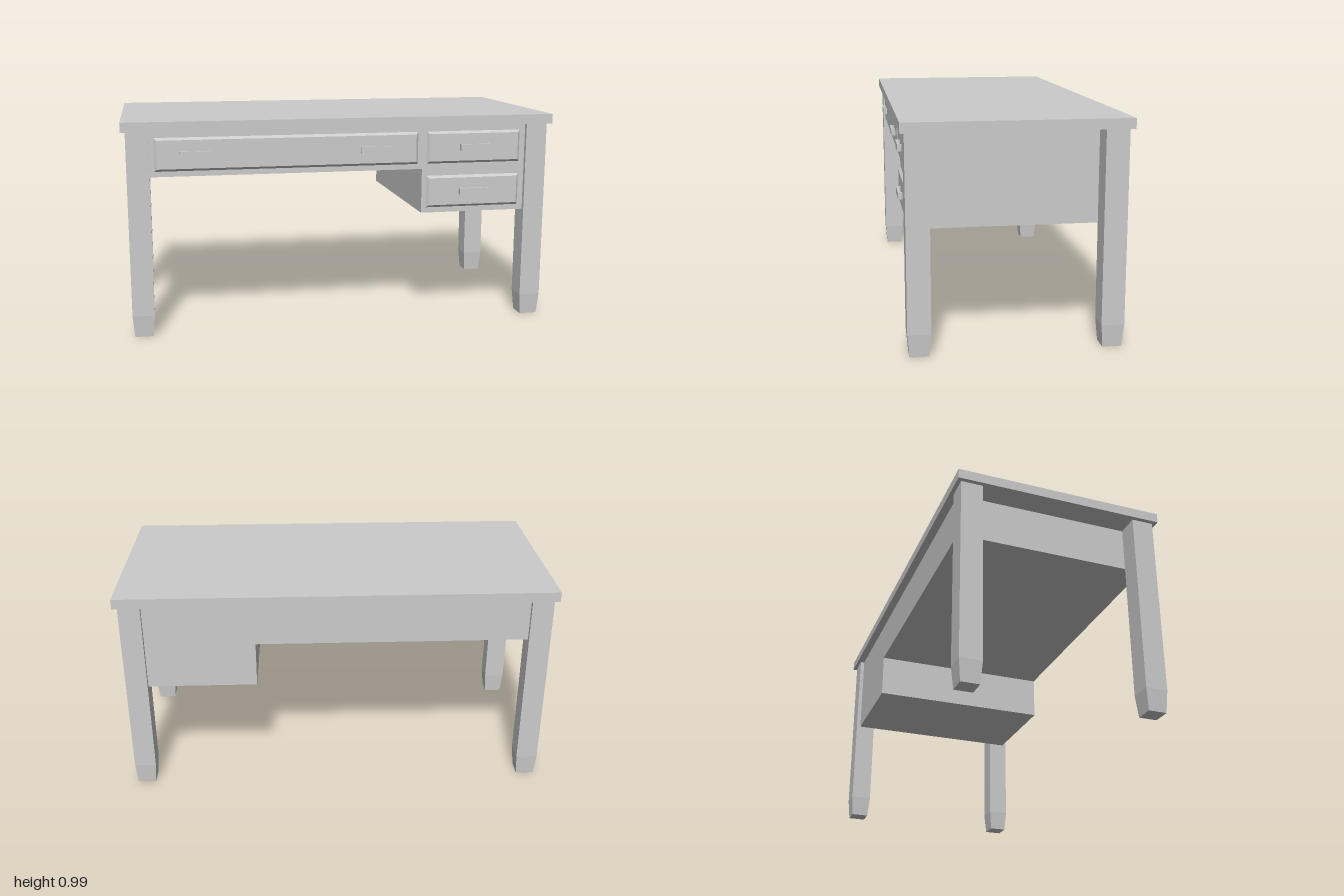
import * as THREE from 'three';

const material = new THREE.MeshStandardMaterial({ color: 0xcccccc, flatShading: true });

function part(name, geometry, x, y, z) {
  const mesh = new THREE.Mesh(geometry, material);
  mesh.name = name;
  mesh.position.set(x, y, z);
  return mesh;
}

// Square leg, standing on y = 0, narrowing towards the foot
function legGeometry(width, footWidth, height, taperStart) {
  const geo = new THREE.BoxGeometry(width, height, width, 1, 2, 1);
  geo.translate(0, height / 2, 0);
  const p = geo.attributes.position;
  const s = footWidth / width;
  for (let i = 0; i < p.count; i++) {
    const y = p.getY(i);
    if (y < 0.001) p.setXYZ(i, p.getX(i) * s, 0, p.getZ(i) * s);
    else if (y < height - 0.001) p.setY(i, taperStart);
  }
  const flat = geo.toNonIndexed();
  flat.computeVertexNormals();
  return flat;
}

// Raised panel with its back on z = 0 and sloping edges
function panelGeometry(width, height, depth, bevel) {
  const geo = new THREE.BoxGeometry(width, height, depth);
  geo.translate(0, 0, depth / 2);
  const p = geo.attributes.position;
  for (let i = 0; i < p.count; i++) {
    if (p.getZ(i) > depth / 2) {
      p.setX(i, p.getX(i) - Math.sign(p.getX(i)) * bevel);
      p.setY(i, p.getY(i) - Math.sign(p.getY(i)) * bevel);
    }
  }
  const flat = geo.toNonIndexed();
  flat.computeVertexNormals();
  return flat;
}

// Bar pull held by a post at each end
function createHandle(x) {
  const handle = new THREE.Group();
  handle.name = 'handle';
  handle.position.x = x;
  handle.add(part('handleBar', new THREE.BoxGeometry(0.14, 0.03, 0.01), 0, 0, 0.028));
  for (const side of [-1, 1]) {
    handle.add(part('handlePost', new THREE.BoxGeometry(0.02, 0.03, 0.011), side * 0.06, 0, 0.0185));
  }
  return handle;
}

export function createModel() {
  const desk = new THREE.Group();
  desk.name = 'desk';

  // Top board
  desk.add(part('tabletop', new THREE.BoxGeometry(2, 0.045, 0.96), 0, 0.9625, 0));

  // Four legs
  const leg = legGeometry(0.1, 0.083, 0.94, 0.1);
  for (const x of [-0.93, 0.93]) {
    for (const z of [-0.412, 0.412]) {
      desk.add(part((z > 0 ? 'front' : 'back') + (x > 0 ? 'Left' : 'Right') + 'Leg', leg, x, 0, z));
    }
  }

  // Stepped drawer case, deeper on one side
  const outline = new THREE.Shape([
    [-0.88, 0.735], [0.375, 0.735], [0.375, 0.525],
    [0.88, 0.525], [0.88, 0.94], [-0.88, 0.94],
  ].map(([x, y]) => new THREE.Vector2(x, y)));
  const caseDepth = 0.884;
  desk.add(part('drawerCase',
    new THREE.ExtrudeGeometry(outline, { depth: caseDepth, bevelEnabled: false }),
    0, 0, -caseDepth / 2));

  // Drawer fronts with their handles
  const drawers = [
    { name: 'wideDrawer', x: -0.252, y: 0.835, width: 1.217, handles: [-0.423, 0.402] },
    { name: 'upperDrawer', x: 0.625, y: 0.835, width: 0.46, handles: [0] },
    { name: 'lowerDrawer', x: 0.625, y: 0.626, width: 0.46, handles: [0] },
  ];
  for (const { name, x, y, width, handles } of drawers) {
    const drawer = new THREE.Group();
    drawer.name = name;
    drawer.position.set(x, y, 0.44);
    drawer.add(part('drawerFront', panelGeometry(width, 0.155, 0.014, 0.013), 0, 0, 0));
    for (const hx of handles) drawer.add(createHandle(hx));
    desk.add(drawer);
  }

  return desk;
}
